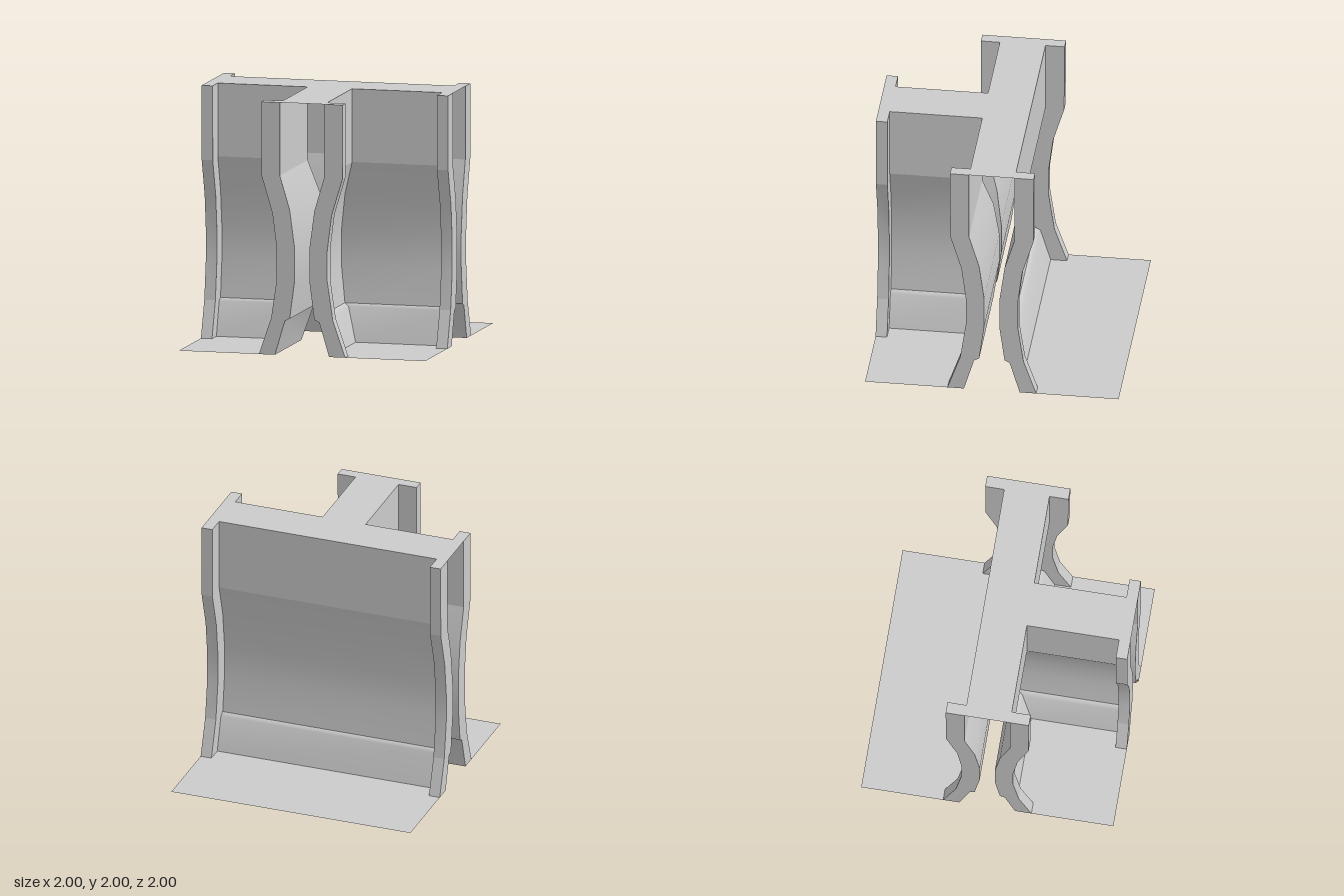
import * as THREE from 'three';

// Rows from top to bottom: [inner offset, inner y, outer offset, outer y]
const ROWS = [
  [0.18, 2, 0.33, 2],
  [0.18, 1.42, 0.327, 1.41],
  [0.1, 1.15, 0.24, 1.12],
  [0.06, 0.85, 0.205, 0.84],
  [0.06, 0.59, 0.205, 0.6],
  [0.1, 0.29, 0.25, 0.29],
  [0.14, 0.27, 0.257, 0.27],
  [0.22, 0, 0.35, 0],
];
// Each band is shaded smoothly, with a crease between bands
const BANDS = [ROWS.slice(0, 2), ROWS.slice(1, 6), ROWS.slice(5)];
const END = 0.91;

const material = new THREE.MeshStandardMaterial({ color: 0xcccccc, side: THREE.DoubleSide });

// Sheet between two edges; a is the left edge and b the right, seen from outside
function addSheet(parent, name, a, b) {
  const group = new THREE.Group();
  group.name = name;
  for (const band of BANDS) {
    const position = [], index = [];
    band.forEach((row, i) => {
      position.push(...a(...row), ...b(...row));
      const k = 2 * i;
      if (i < band.length - 1) index.push(k, k + 2, k + 1, k + 1, k + 2, k + 3);
    });
    const geometry = new THREE.BufferGeometry();
    geometry.setAttribute('position', new THREE.Float32BufferAttribute(position, 3));
    geometry.setIndex(index);
    geometry.computeVertexNormals();
    const mesh = new THREE.Mesh(geometry, material);
    mesh.name = name + 'Band';
    group.add(mesh);
  }
  parent.add(group);
}

// Flat horizontal plate from an outline of [x, z] points
function addPlate(parent, name, points, y) {
  const shape = new THREE.Shape(points.map(([x, z]) => new THREE.Vector2(x, -z)));
  const mesh = new THREE.Mesh(new THREE.ShapeGeometry(shape).rotateX(-Math.PI / 2), material);
  mesh.position.y = y;
  mesh.name = name;
  parent.add(mesh);
}

const mirrorX = (points) => points.map(([x, z]) => [-x, z]);
const symmetric = (half) => [...half, ...mirrorX(half).reverse()];

// Raised rib framing one side of an opening at x = 1
function makeRib() {
  const rib = new THREE.Group();
  rib.name = 'openingRib';
  addSheet(rib, 'ribEnd', (w, y, o, oy) => [1, oy, o], (w, y) => [1, y, w]);
  addSheet(rib, 'ribOuter', (w, y, o, oy) => [END, oy, o], (w, y, o, oy) => [1, oy, o]);
  addSheet(rib, 'ribBack', (w, y) => [END, y, w], (w, y, o, oy) => [END, oy, o]);
  return rib;
}

export function createModel() {
  const model = new THREE.Group();
  model.name = 'tJunctionPassage';

  // Curved passage walls, mitred where the stem meets the crossbar
  addSheet(model, 'backWall', (w, y) => [1, y, -w], (w, y) => [-1, y, -w]);
  addSheet(model, 'frontWallLeft', (w, y) => [w, y, w], (w, y) => [1, y, w]);
  addSheet(model, 'frontWallRight', (w, y) => [-1, y, w], (w, y) => [-w, y, w]);
  addSheet(model, 'stemWallLeft', (w, y) => [w, y, 1], (w, y) => [w, y, w]);
  addSheet(model, 'stemWallRight', (w, y) => [-w, y, w], (w, y) => [-w, y, 1]);

  // A pair of ribs at each of the three openings
  for (const angle of [0, Math.PI, -Math.PI / 2]) {
    const opening = new THREE.Group();
    opening.name = 'openingFrame';
    for (const side of [1, -1]) {
      const rib = makeRib();
      rib.scale.z = side;
      opening.add(rib);
    }
    opening.rotation.y = angle;
    model.add(opening);
  }

  // T-shaped roof, also capping the ribs
  addPlate(model, 'roof', symmetric([
    [END, -0.18], [END, -0.33], [1, -0.33], [1, 0.33], [END, 0.33], [END, 0.18],
    [0.18, 0.18], [0.18, END], [0.33, END], [0.33, 1],
  ]), 2);

  // Ground outside the passage, notched around the ribs
  addPlate(model, 'backGround', symmetric([[1, -1], [1, -0.35], [END, -0.35], [END, -0.22]]), 0);
  const corner = [
    [0.22, 0.22], [END, 0.22], [END, 0.35], [1, 0.35],
    [1, 1], [0.35, 1], [0.35, END], [0.22, END],
  ];
  addPlate(model, 'cornerGroundLeft', corner, 0);
  addPlate(model, 'cornerGroundRight', mirrorX(corner), 0);

  return model;
}
